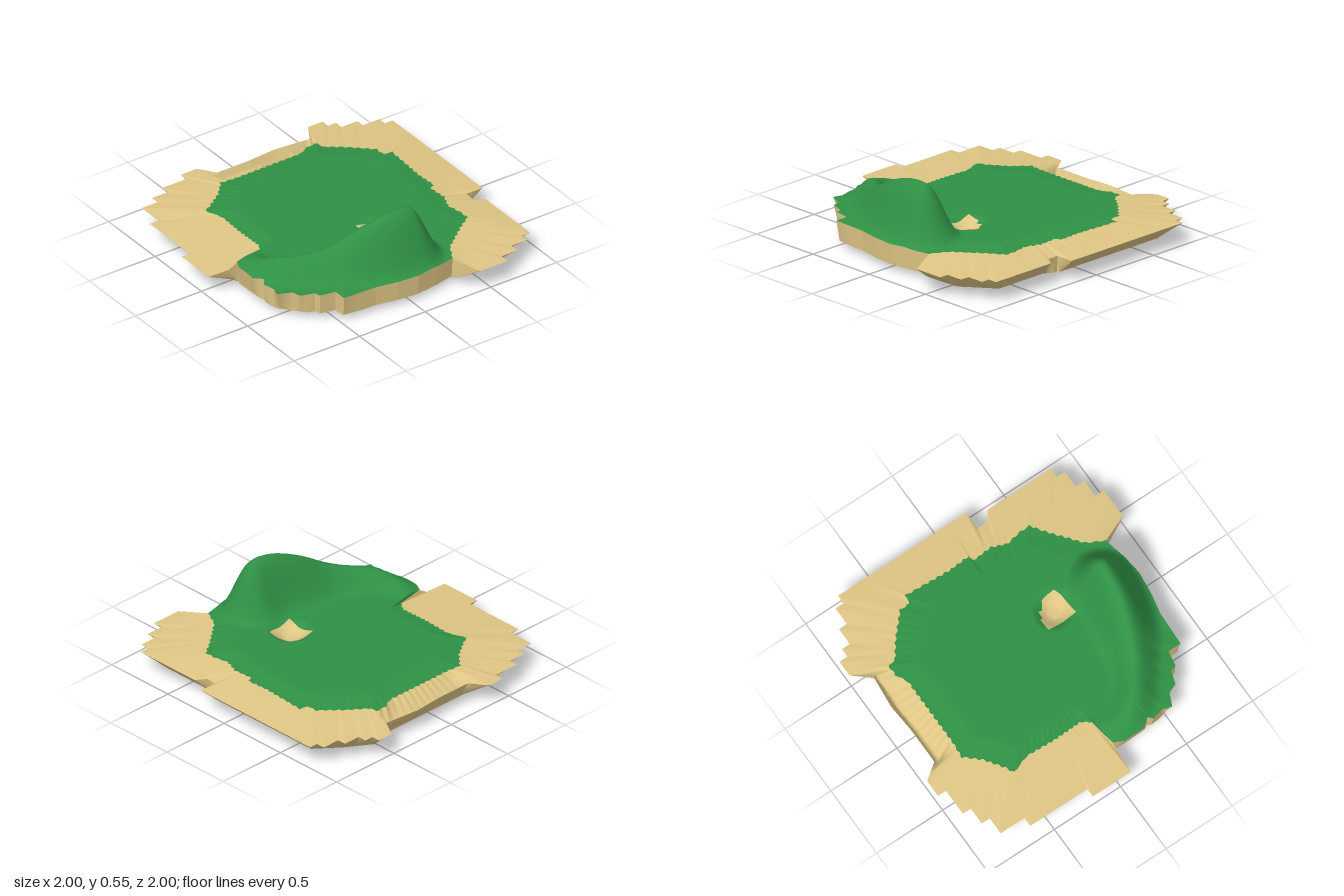
import * as THREE from 'three';

const { lerp, smoothstep, clamp } = THREE.MathUtils;

// Plan outlines as [x, z]. The mound's foot is shared by turf and ground.
const foot = [[0.34, 0.815], [0.2, 0.845], [0.05, 0.865], [-0.1, 0.85], [-0.25, 0.82], [-0.485, 0.81],
  [-0.485, 0.72], [-0.59, 0.7], [-0.6, 0.66], [-0.69, 0.63], [-0.71, 0.57], [-0.8, 0.53], [-0.78, 0.47],
  [-0.8, 0.39], [-0.775, 0.36], [-0.82, 0.3], [-0.82, 0.15], [-0.79, 0.087]];
const groundOutline = [...foot,
  [-1, 0.08], [-1, -0.21], [-0.94, -0.21], [-0.94, -0.64], [-0.875, -0.64], [-0.875, -0.82],
  [-0.755, -0.82], [-0.755, -0.88], [-0.635, -0.88], [-0.635, -0.94], [-0.45, -0.94], [-0.45, -1],
  [-0.33, -1], [-0.25, -0.89], [0, -0.89], [0.2, -0.905], [0.45, -0.88], [0.52, -1], [0.63, -1],
  [0.63, -0.94], [0.69, -0.94], [0.69, -0.88], [0.81, -0.88], [0.81, -0.82], [0.935, -0.82],
  [0.935, -0.76], [0.995, -0.76], [0.995, 0.21], [0.87, 0.21], [0.87, 0.285], [0.935, 0.33],
  [0.935, 0.81], [0.87, 0.81], [0.87, 0.87], [0.75, 0.87], [0.75, 0.935], [0.63, 0.935], [0.63, 1], [0.42, 1]];
const turfOutline = [...foot,
  [-0.6, 0.06], [-0.56, 0], [-0.565, -0.2], [-0.555, -0.4], [-0.6, -0.53], [-0.55, -0.55], [-0.42, -0.64],
  [-0.33, -0.74], [-0.23, -0.73], [0.27, -0.73], [0.35, -0.77], [0.43, -0.77], [0.43, -0.72], [0.55, -0.63],
  [0.69, -0.5], [0.69, -0.43], [0.75, -0.42], [0.73, -0.1], [0.74, 0.05], [0.7, 0.06], [0.71, 0.2],
  [0.67, 0.3], [0.69, 0.4], [0.69, 0.48], [0.6, 0.54], [0.45, 0.66], [0.4, 0.7]];
const baseOutline = [[-0.79, -0.2], [-0.79, -0.55], [-0.6, -0.78], [-0.4, -0.86], [-0.3, -0.84], [0.4, -0.84],
  [0.55, -0.89], [0.72, -0.78], [0.88, -0.65], [0.88, 0.2], [0.83, 0.3], [0.83, 0.68], [0.62, 0.84],
  [0.42, 0.85], [0.2, 0.84], [0, 0.86], [-0.2, 0.83], [-0.48, 0.79], [-0.6, 0.69], [-0.78, 0.47], [-0.79, 0.2]];
const pitOutline = [[0.05, 0.18], [0.14, 0.18], [0.14, 0.2], [0.19, 0.2], [0.19, 0.23], [0.24, 0.26],
  [0.25, 0.3], [0.25, 0.36], [0.2, 0.38], [0.05, 0.39]];
const pit = [0.14, 0.285];

// Distance from the origin to an outline along an angle
function radius(outline, a) {
  const dx = Math.cos(a), dz = Math.sin(a);
  let best = 0;
  outline.forEach(([x1, z1], i) => {
    const [x2, z2] = outline[(i + 1) % outline.length];
    const c1 = dx * z1 - dz * x1, c2 = dx * z2 - dz * x2;
    if (c1 * c2 > 0 || c1 === c2) return;
    const k = c1 / (c1 - c2);
    best = Math.max(best, dx * lerp(x1, x2, k) + dz * lerp(z1, z2, k));
  });
  return best;
}

// Even angles plus a close pair at every corner, so that steps stay crisp
function anglesFor(outlines, count) {
  const list = Array.from({ length: count }, (_, i) => -Math.PI + (i + 0.37) / count * Math.PI * 2);
  for (const o of outlines) for (const [x, z] of o) {
    const a = Math.atan2(z, x);
    list.push(a - 2e-4, a + 2e-4);
  }
  return list.sort((p, q) => p - q);
}

// Closed rings joined into a skin; point(i, t) runs across it with t from 0 to 1
function loft(count, rings, point) {
  const pos = [], index = [];
  for (let j = 0; j <= rings; j++) for (let i = 0; i < count; i++) pos.push(...point(i, j / rings));
  for (let j = 0; j < rings; j++) for (let i = 0; i < count; i++) {
    const n = (i + 1) % count;
    const a = j * count + i, b = j * count + n, c = a + count, d = b + count;
    index.push(a, b, c, b, d, c);
  }
  const g = new THREE.BufferGeometry();
  g.setAttribute('position', new THREE.Float32BufferAttribute(pos, 3));
  g.setIndex(index);
  g.computeVertexNormals();
  return g;
}

// Crest of the curved mound: (x, height above turf, z)
const crest = new THREE.CatmullRomCurve3([
  [-0.73, 0.03, 0.16], [-0.71, 0.06, 0.25], [-0.64, 0.1, 0.35], [-0.52, 0.12, 0.44], [-0.38, 0.17, 0.52],
  [-0.22, 0.26, 0.58], [-0.05, 0.33, 0.62], [0.07, 0.35, 0.635], [0.12, 0.345, 0.635],
].map(p => new THREE.Vector3(...p))).getPoints(90);

function mound(x, z) {
  let h = 0;
  for (const c of crest) {
    const d = Math.hypot(x - c.x, z - c.z) / lerp(0.15, 0.24, smoothstep(c.y, 0.03, 0.33));
    if (d < 1) h = Math.max(h, c.y * (1 + Math.cos(Math.PI * d)) / 2);
  }
  return h;
}

// Turf height, with t = 1 at the turf's edge
function turfHeight(x, z, t) {
  const d = Math.hypot(x - pit[0], z - pit[1]);
  const bowl = 0.06 * (1 - smoothstep(d, 0.03, 0.15));
  return 0.196 - 0.018 * smoothstep(t, 0.8, 1) + mound(x, z) - bowl;
}

export function createModel() {
  const group = new THREE.Group();
  const material = (name, color) => {
    const m = new THREE.MeshStandardMaterial({ color, side: THREE.DoubleSide });
    m.name = name;
    return m;
  };
  const grass = material('grass green', 0x2f9145);
  const sand = material('sand', 0xdec584);
  const add = (name, geometry, mat) => {
    const mesh = new THREE.Mesh(geometry, mat);
    mesh.name = name;
    group.add(mesh);
  };

  const rays = anglesFor([groundOutline, turfOutline], 480).map(a => {
    const x = Math.cos(a), z = Math.sin(a);
    const rim = radius(groundOutline, a);
    let turf = Math.min(radius(turfOutline, a), rim);
    if (rim - turf > 0.03) turf += 0.006 * Math.sin(a * 97);
    if (rim - turf < 0.004) turf = rim;
    const edgeY = turfHeight(x * turf, z * turf, 1);
    const rimY = lerp(edgeY, 0.147, clamp((rim - turf) / 0.04, 0, 1));
    const base = Math.min(radius(baseOutline, a), rim - 0.008);
    return { x, z, rim, turf, edgeY, rimY, base };
  });
  const n = rays.length;

  // Grass surface with the mound and the bowl
  add('turf', loft(n, 64, (i, t) => {
    const { x, z, turf } = rays[i], r = turf * t;
    return [x * r, turfHeight(x * r, z * r, t), z * r];
  }), grass);

  // Sand apron from turf edge to rim, with a gully along the back
  add('sandApron', loft(n, 10, (i, t) => {
    const { x, z, turf, rim, edgeY, rimY } = rays[i], r = lerp(turf, rim, t);
    const px = x * r, pz = z * r;
    const gully = z < 0 ? smoothstep(px, -0.3, -0.24) * (1 - smoothstep(px, 0.4, 0.46)) * smoothstep(-pz, 0.6, 0.7) : 0;
    const dip = 0.07 * gully * (t < 0.8 ? t / 0.8 : (1 - t) / 0.2);
    return [px, lerp(edgeY, rimY, t) - dip, pz];
  }), sand);

  // Sloping outer bank
  add('bank', loft(n, 4, (i, t) => {
    const { x, z, rim, rimY, base } = rays[i], r = lerp(rim, base, t);
    return [x * r, lerp(rimY, 0.042, t), z * r];
  }), sand);

  // Shallow rounded underside, bulging beneath the bowl
  add('underside', loft(n, 20, (i, t) => {
    const { x, z, base } = rays[i], s = 1 - t, r = base * s;
    const d = Math.hypot(x * r - pit[0], z * r - pit[1]);
    const bulge = 0.012 * (1 - smoothstep(d, 0.06, 0.19));
    return [x * r, 0.042 - 0.03 * (1 - s ** 4) - bulge * (1 - s ** 4), z * r];
  }), sand);

  // Sand patch lying in the bowl
  const local = pitOutline.map(([x, z]) => [x - pit[0], z - pit[1]]);
  const pitAngles = anglesFor([local], 64);
  add('sandPit', loft(pitAngles.length, 12, (i, t) => {
    const a = pitAngles[i], r = radius(local, a) * t;
    const x = pit[0] + Math.cos(a) * r, z = pit[1] + Math.sin(a) * r;
    return [x, turfHeight(x, z, 0) + 0.004, z];
  }), sand);

  return group;
}
